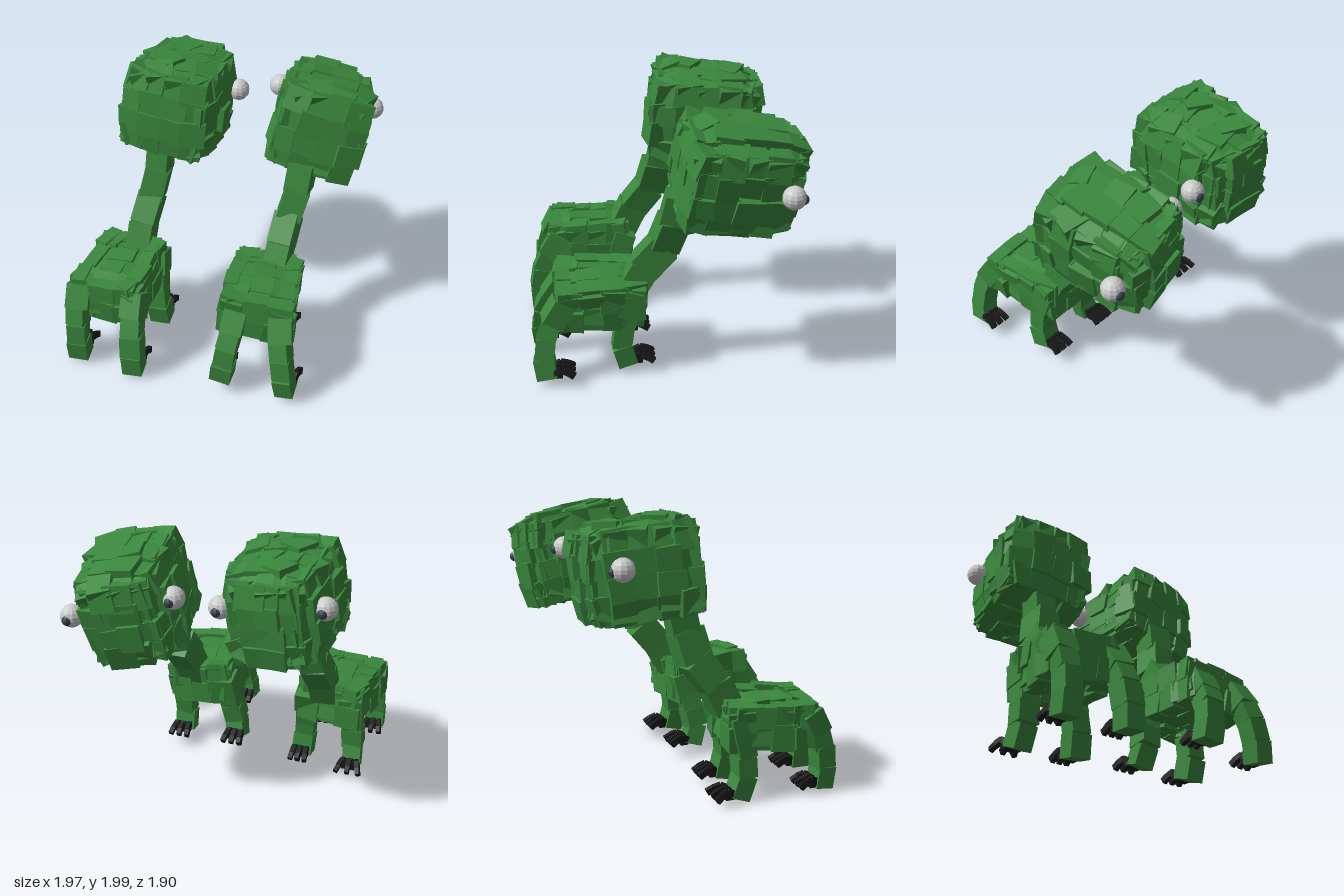
import * as THREE from 'three';

const green = new THREE.MeshStandardMaterial({ color: 0x3a873d, flatShading: true });
const black = new THREE.MeshStandardMaterial({ color: 0x191919, flatShading: true });
const grey = new THREE.MeshStandardMaterial({ color: 0xcccccc, flatShading: true });
const slate = new THREE.MeshStandardMaterial({ color: 0x36424a, flatShading: true });
const V = (x, y, z) => new THREE.Vector3(x, y, z);

// Seeded jitter in -1..1
let seed = 7;
const jitter = () => {
  seed = (seed * 16807) % 2147483647;
  return (seed / 2147483647) * 2 - 1;
};

function block(parent, name, size, material = green) {
  const mesh = new THREE.Mesh(new THREE.BoxGeometry(...size), material);
  mesh.name = name;
  parent.add(mesh);
  return mesh;
}

// Row of uneven blocks strung between the points
function chain(parent, name, points, w, d, material = green) {
  for (let i = 1; i < points.length; i++) {
    const up = points[i - 1].clone().sub(points[i]);
    const size = [w * (1 + 0.08 * jitter()), up.length() * 1.06, d * (1 + 0.08 * jitter())];
    const mesh = block(parent, name, size, material);
    mesh.position.copy(points[i]).addScaledVector(up, 0.5);
    mesh.quaternion.setFromUnitVectors(V(0, 1, 0), up.normalize());
    mesh.rotateY(jitter() * 0.12);
    mesh.rotateX(jitter() * 0.06);
  }
}

// Head outline: narrower on top and towards the muzzle, with a domed crown
function headShape([x, y, z]) {
  const front = Math.max(0, -z) ** 2;
  const top = Math.max(0, y);
  return V(
    x * (1 - 0.3 * front) * (1 - 0.09 * top),
    y + top * (0.07 - 0.12 * x * x - 0.16 * front),
    z * (1 - 0.16 * front * x * x)
  );
}

const bodyShape = ([x, y, z]) => V(x * (1 + 0.05 * z), y, z);

// Shaped shell covered in chunky, uneven blocks
function blockShell(parent, name, half, counts, tile, depth, power, shape, topSpin) {
  block(parent, name + 'Core', half.map((h) => h * 1.4));
  const size3 = V(...half);
  for (let axis = 0; axis < 3; axis++) {
    const u = (axis + 1) % 3, v = (axis + 2) % 3;
    for (const side of [-1, 1])
      for (let i = 0; i < counts[u]; i++)
        for (let j = 0; j < counts[v]; j++) {
          const c = [0, 0, 0];
          c[axis] = side;
          c[u] = (((i + 0.5) / counts[u]) * 2 - 1) * 0.97;
          c[v] = (((j + 0.5) / counts[v]) * 2 - 1) * 0.97;
          const norm = c.reduce((s, k) => s + Math.abs(k) ** power, 0) ** (1 / power);
          const p = c.map((k) => k / norm);
          const n = V(...p.map((k) => Math.sign(k) * Math.abs(k) ** power)).normalize();
          const size = [tile * (1 + 0.14 * jitter()), tile * (1 + 0.14 * jitter()), depth];
          const mesh = block(parent, name + 'Block', size);
          const up = axis === 1 ? V(0, 0, 1) : V(0, 1, 0);
          mesh.quaternion.setFromRotationMatrix(new THREE.Matrix4().lookAt(n, V(0, 0, 0), up));
          mesh.rotateZ(jitter() * (n.y > 0.7 ? topSpin : 0.1));
          mesh.rotateX(jitter() * 0.09);
          mesh.rotateY(jitter() * 0.09);
          mesh.position.copy(shape(p).multiply(size3)).addScaledVector(n, -depth / 2 - 0.012 + 0.02 * jitter());
        }
  }
}

// Leg with three knobbly toes pointing towards -z
function leg(parent, name, profile, [topX, footX, footY, footZ, splay]) {
  const g = new THREE.Group();
  g.name = name;
  parent.add(g);
  const last = profile.length - 1;
  const pts = profile.map(([z, y], i) => {
    const t = i / last;
    return V(topX + (footX - topX) * t, y + footY * t, z + footZ * t);
  });
  chain(g, name + 'Thigh', pts.slice(0, 2), 0.165, 0.16);
  chain(g, name + 'Segment', pts.slice(1), 0.14, 0.14);
  const foot = pts[last];
  block(g, 'footPad', [0.12, 0.06, 0.06], black).position.set(foot.x, foot.y + 0.04, foot.z - 0.08);
  for (const k of [-1, 0, 1]) {
    const x = foot.x + k * 0.045;
    chain(g, 'toe', [
      V(x, foot.y + 0.05, foot.z - 0.05),
      V(x + k * splay * 0.3, foot.y + 0.075, foot.z - 0.1),
      V(x + k * splay * 0.7, foot.y + 0.055, foot.z - 0.15),
      V(x + k * splay, foot.y + 0.03, foot.z - 0.19)
    ], 0.033, 0.045, black);
  }
}

function eye(parent, name, [x, y, z]) {
  const g = new THREE.Group();
  g.name = name;
  g.position.set(x, y, z);
  const ball = new THREE.Mesh(new THREE.SphereGeometry(0.08, 12, 9), grey);
  ball.name = 'eyeball';
  const pupil = new THREE.Mesh(new THREE.SphereGeometry(0.036, 10, 7), slate);
  pupil.name = 'pupil';
  pupil.position.set(0.008, -0.01, -0.06);
  g.add(ball, pupil);
  parent.add(g);
}

const hindProfile = [[0.72, 0.61], [0.81, 0.46], [0.86, 0.34], [0.885, 0.19], [0.88, 0.04]];
const frontProfile = [[0.22, 0.62], [0.25, 0.46], [0.27, 0.33], [0.27, 0.19], [0.22, 0.04]];

function creature(name, o) {
  const g = new THREE.Group();
  g.name = name;

  const head = new THREE.Group();
  head.name = 'head';
  head.position.set(...o.head);
  head.rotation.set(...o.headTurn);
  blockShell(head, 'head', [0.345, 0.335, 0.43], [4, 4, 5], 0.175, 0.15, 4.5, headShape, 0.5);
  g.add(head);
  o.eyes.forEach((p, i) => eye(g, i ? 'leftEye' : 'rightEye', p));

  const body = new THREE.Group();
  body.name = 'body';
  body.position.set(...o.body);
  body.rotation.set(...o.bodyTurn);
  blockShell(body, 'body', [0.255, 0.155, 0.33], [3, 2, 4], 0.175, 0.1, 5, bodyShape, 0.2);
  g.add(body);

  chain(g, 'neck', o.neck.map((p) => V(...p)), 0.17, 0.21);

  o.legs.forEach((l, i) =>
    leg(g, ['rightHindLeg', 'leftHindLeg', 'rightFrontLeg', 'leftFrontLeg'][i],
      i < 2 ? hindProfile : frontProfile, l));
  return g;
}

export function createModel() {
  const model = new THREE.Group();
  model.name = 'longNeckedPair';
  model.add(
    creature('rightCreature', {
      head: [-0.43, 1.61, -0.38],
      headTurn: [-0.08, -0.1, -0.1],
      eyes: [[-0.76, 1.68, -0.57], [-0.06, 1.6, -0.59]],
      body: [-0.67, 0.535, 0.48],
      bodyTurn: [0.05, -0.1, 0.03],
      neck: [[-0.51, 1.36, -0.1], [-0.52, 1.17, -0.05], [-0.56, 0.97, 0.01], [-0.59, 0.8, 0.14], [-0.6, 0.62, 0.23]],
      legs: [
        [-0.88, -0.88, 0.01, -0.04, 0.02], [-0.47, -0.45, 0, 0.01, 0.01],
        [-0.8, -0.83, 0, 0, 0.04], [-0.47, -0.43, 0, 0.06, 0.01]
      ]
    }),
    creature('leftCreature', {
      head: [0.59, 1.535, -0.47],
      headTurn: [-0.14, 0.12, -0.22],
      eyes: [[0.24, 1.65, -0.65], [0.92, 1.48, -0.78]],
      body: [0.38, 0.57, 0.46],
      bodyTurn: [-0.02, 0.05, -0.1],
      neck: [[0.54, 1.36, -0.1], [0.52, 1.17, -0.05], [0.47, 0.97, 0.01], [0.45, 0.8, 0.14], [0.43, 0.62, 0.23]],
      legs: [
        [0.27, 0.2, 0.08, -0.01, 0.01], [0.58, 0.66, 0.03, -0.03, 0.02],
        [0.19, 0.1, 0.05, 0.06, 0.02], [0.54, 0.53, 0.04, 0.06, 0.02]
      ]
    })
  );
  return model;
}
